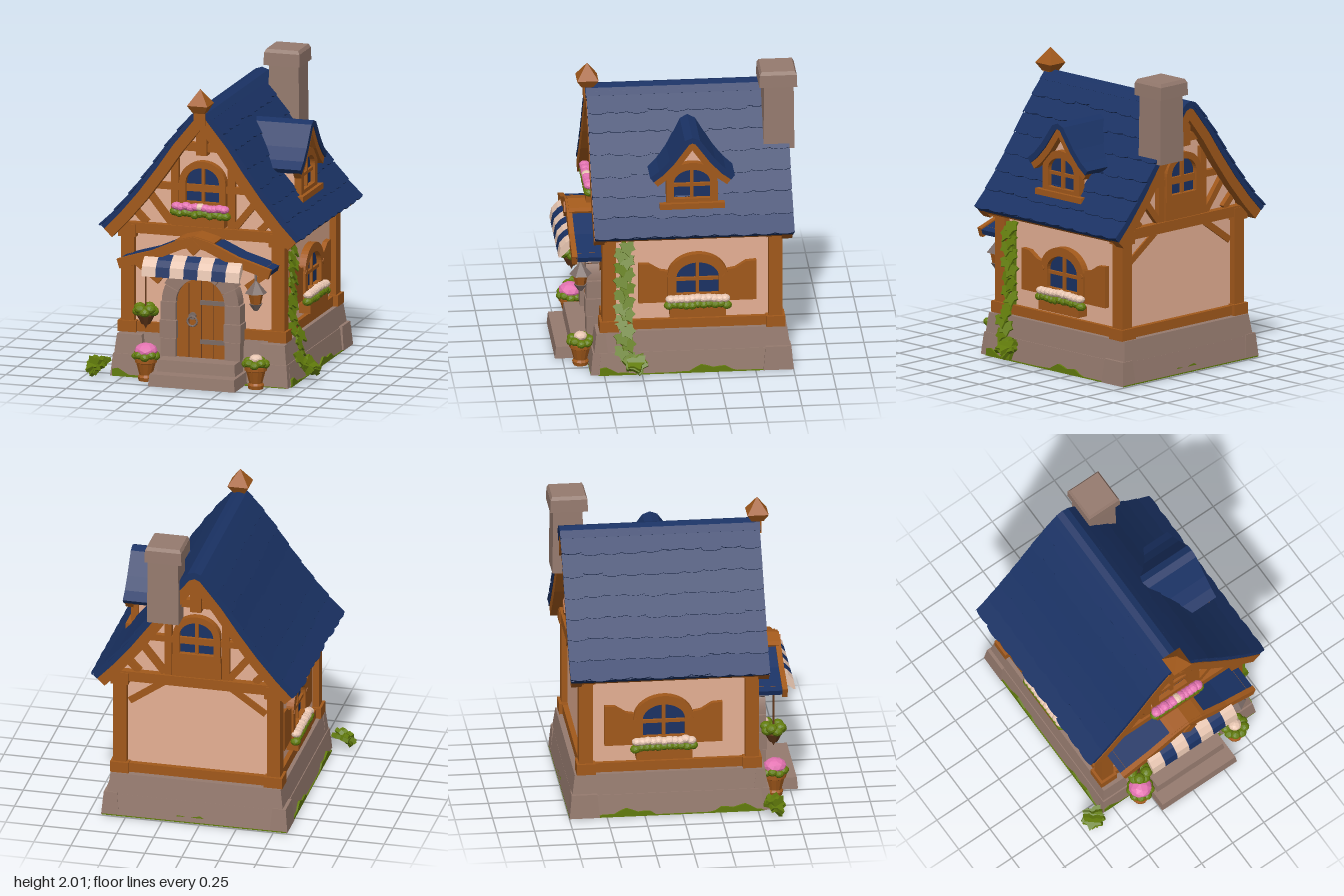
import * as THREE from 'three';

const mat = (name, color, flatShading = true) => Object.assign(new THREE.MeshStandardMaterial({ color, flatShading }), { name });
const plaster = mat('plaster', 0xe6b094), stone = mat('stone', 0x967b6f), wood = mat('wood', 0xa2591b);
const blue = mat('slateBlue', 0x1a3264), leaf = mat('leafGreen', 0x627c0c), pink = mat('pinkPetal', 0xe272b0);
const cream = mat('creamCloth', 0xeecbb6), soil = mat('darkWood', 0x63381a), metal = mat('iron', 0x7b6b66);

let seed = 7;
const rnd = (a = 0, b = 1) => { seed = (seed * 16807) % 2147483647; return a + (b - a) * seed / 2147483647; };

function add(parent, name, geo, m, x = 0, y = 0, z = 0) {
  const mesh = new THREE.Mesh(geo, m);
  mesh.name = name; mesh.position.set(x, y, z); parent.add(mesh);
  return mesh;
}
const box = (p, name, m, w, h, d, x, y, z) => add(p, name, new THREE.BoxGeometry(w, h, d), m, x, y, z);
const group = (p, name, x = 0, y = 0, z = 0, ry = 0) => {
  const g = new THREE.Group(); g.name = name; g.position.set(x, y, z); g.rotation.y = ry; p.add(g); return g;
};
const extrude = (shape, depth) => new THREE.ExtrudeGeometry(shape, { depth, bevelEnabled: false, curveSegments: 10 });
const poly = pts => new THREE.Shape(pts.map(p => new THREE.Vector2(p[0], p[1])));
const mirrored = pts => poly([...pts, ...pts.slice().reverse().filter(p => p[0]).map(p => [-p[0], p[1]])]);

// timber between two points, standing on the local wall plane
function beam(p, x1, y1, x2, y2, w, d = 0.035) {
  const m = box(p, 'timber', wood, Math.hypot(x2 - x1, y2 - y1), w, d, (x1 + x2) / 2, (y1 + y2) / 2, d / 2);
  m.rotation.z = Math.atan2(y2 - y1, x2 - x1);
}

// block narrowing by k towards the top
function taper(w, h, d, k) {
  const g = new THREE.BoxGeometry(w, h, d), a = g.attributes.position;
  for (let i = 0; i < a.count; i++) if (a.getY(i) > 0) a.setXYZ(i, a.getX(i) * (1 - k / w), a.getY(i), a.getZ(i) * (1 - k / d));
  g.computeVertexNormals();
  return g;
}

// symmetric roof layer between two offsets below a half profile
function band(half, o1, o2) {
  const full = [...half.slice(1).reverse().map(p => [-p[0], p[1]]), ...half];
  const off = o => full.map((p, i) => {
    const a = full[Math.max(i - 1, 0)], b = full[Math.min(i + 1, full.length - 1)];
    const tx = b[0] - a[0], ty = b[1] - a[1], l = Math.hypot(tx, ty);
    return [p[0] + ty / l * o, p[1] - tx / l * o];
  });
  return poly([...off(o1), ...off(o2).reverse()]);
}

function arch(w, y0, spring, top, Kind = THREE.Shape) {
  const s = new Kind();
  s.moveTo(-w / 2, y0); s.lineTo(w / 2, y0); s.lineTo(w / 2, spring);
  s.absellipse(0, spring, w / 2, top - spring, 0, Math.PI, false);
  s.closePath();
  return s;
}

function archWindow(p, w, y0, spring, top, f) {
  const s = arch(w + 2 * f, y0 - f, spring, top + f);
  s.holes.push(arch(w, y0, spring, top, THREE.Path));
  add(p, 'windowFrame', extrude(s, 0.05), wood);
  add(p, 'windowGlass', extrude(arch(w, y0, spring, top), 0.008), blue, 0, 0, 0.008);
  box(p, 'windowBar', wood, 0.022, top - y0, 0.025, 0, (top + y0) / 2, 0.022);
  box(p, 'windowBar', wood, w, 0.022, 0.025, 0, y0 + (top - y0) * 0.45, 0.022);
}

function blob(p, name, m, r, x, y, z, sy = 0.8) {
  const b = add(p, name, new THREE.IcosahedronGeometry(r, 1), m, x, y, z);
  b.scale.y = sy; b.rotation.y = rnd(0, 3);
}
function flowerBox(p, w, y, z, petals) {
  box(p, 'flowerBox', wood, w - 0.02, 0.065, 0.08, 0, y + 0.03, z - 0.01);
  for (let i = 0; i < 11; i++) {
    const x = (i / 10 - 0.5) * (w - 0.01);
    blob(p, 'boxLeaves', leaf, 0.036, x, y + 0.082 + rnd(-0.012, 0.006), z + 0.012);
    blob(p, 'boxFlowers', i === 5 ? cream : petals, 0.036, x * 0.94, y + 0.122 + rnd(-0.004, 0.008), z + 0.012, 0.75);
  }
}
const leafGeo = extrude(poly([[0, -0.065], [0.022, -0.03], [0.05, -0.022], [0.04, 0.008], [0.048, 0.035], [0.018, 0.04], [0, 0.03],
  [-0.018, 0.04], [-0.048, 0.035], [-0.04, 0.008], [-0.05, -0.022], [-0.022, -0.03]]), 0.014);

// gable timbers shared by front and back, on a local wall plane
function gableFrame(p) {
  beam(p, -0.58, 0.995, 0.58, 0.995, 0.07, 0.05);
  beam(p, -0.37, 1.29, 0.37, 1.29, 0.045);
  beam(p, -0.18, 1.57, 0.18, 1.57, 0.055, 0.05);
  beam(p, 0, 1.52, 0, 1.77, 0.075, 0.07);
  beam(p, -0.5, 0.325, 0.5, 0.325, 0.065);
  for (const s of [-1, 1]) {
    beam(p, s * 0.195, 1.02, s * 0.195, 1.48, 0.05);
    beam(p, s * 0.22, 1.04, s * 0.38, 1.24, 0.045);
    beam(p, s * 0.39, 1.03, s * 0.5, 1.14, 0.045);
  }
  archWindow(p, 0.23, 1.2, 1.33, 1.43, 0.045);
  add(p, 'bargeBoard', extrude(band(ROOF, 0.03, 0.105), 0.07), wood, 0, 0, 0.03);
}

// half profiles: distance from the ridge, height
const ROOF = [[0, 1.815], [0.06, 1.79], [0.21, 1.605], [0.32, 1.445], [0.45, 1.27], [0.58, 1.115], [0.685, 1.005]];
const DORMER = [[0, 1.662], [0.05, 1.642], [0.15, 1.505], [0.22, 1.43], [0.28, 1.385]];
const PORCH = [[0, 0.995], [0.1, 0.97], [0.3, 0.88], [0.42, 0.845], [0.53, 0.81]];

function shingles(p) {
  const len = ROOF.slice(1).map((b, i) => Math.hypot(b[0] - ROOF[i][0], b[1] - ROOF[i][1]));
  const total = len.reduce((a, b) => a + b), rows = 7;
  const at = s => {
    let i = 0;
    while (i < len.length - 1 && s > len[i]) s -= len[i++];
    const t = s / len[i], a = ROOF[i], b = ROOF[i + 1];
    return [a[0] + (b[0] - a[0]) * t, a[1] + (b[1] - a[1]) * t];
  };
  for (const side of [-1, 1]) for (let r = 0; r < rows; r++) {
    const a = at(0.06 + (total - 0.06) * r / rows), b = at(0.06 + (total - 0.06) * (r + 1) / rows);
    const A = new THREE.Vector3(side * a[0], a[1], 0), B = new THREE.Vector3(side * b[0], b[1], 0);
    const d = B.clone().sub(A), L = d.length(); d.normalize();
    const n = new THREE.Vector3(side * -d.y, side * d.x, 0);
    if (side < 0) n.set(d.y, -d.x, 0).negate().multiplyScalar(-1).set(d.y, -d.x, 0);
    d.addScaledVector(n, 0.008 / L).normalize();
    n.set(side * -d.y, side * d.x, 0);
    const s = new THREE.Shape(), tiles = 10, w = 1.32 / tiles;
    s.moveTo(0.66, 0); s.lineTo(0.66, L);
    for (let i = 0; i < tiles; i++) {
      const x = 0.66 - i * w, e = L + rnd(-0.012, 0.008);
      s.lineTo(x, e); s.quadraticCurveTo(x - w / 2, e + 0.022, x - w, e);
    }
    s.lineTo(-0.66, 0);
    const m = add(p, 'shingleRow', extrude(s, 0.012), blue);
    m.quaternion.setFromRotationMatrix(new THREE.Matrix4().makeBasis(new THREE.Vector3(0, 0, side), d, n));
    m.position.copy(A).addScaledVector(n, -0.003).setZ(-0.09);
  }
}

function pot(p, x, z, petals, r) {
  const g = group(p, 'flowerPot', x, 0, z);
  const prof = [[0, 0], [0.05, 0], [0.055, 0.025], [0.045, 0.04], [0.066, 0.12], [0.075, 0.125], [0.075, 0.15], [0, 0.15]];
  add(g, 'pot', new THREE.LatheGeometry(prof.map(q => new THREE.Vector2(...q)), 12), wood);
  for (let i = 0; i < 9; i++) blob(g, 'potLeaves', leaf, 0.034, Math.cos(i * 0.7) * 0.062, 0.165 + (i % 2) * 0.012, Math.sin(i * 0.7) * 0.062);
  blob(g, 'potFlowers', petals, r, 0, 0.2, 0, 0.68);
}

export function createModel() {
  const root = new THREE.Group(); root.name = 'cottage';
  const h = group(root, 'house', 0.035);

  // stone footing, corner blocks and underside
  add(h, 'footingLower', taper(1.24, 0.15, 1.29, 0.04), stone, 0, 0.075, -0.105);
  add(h, 'footingUpper', taper(1.19, 0.145, 1.25, 0.04), stone, 0, 0.2175, -0.105);
  for (const s of [-1, 1]) {
    add(h, 'cornerBlock', taper(0.28, 0.15, 0.1, 0.03), stone, s * 0.475, 0.075, 0.54);
    add(h, 'cornerBlock', taper(0.2, 0.13, 0.09, 0.03), stone, s * 0.495, 0.215, 0.52);
    add(h, 'cornerBlock', taper(0.12, 0.16, 0.2, 0.03), stone, s * 0.57, 0.08, -0.65);
  }
  box(h, 'mossRim', leaf, 1.245, 0.008, 1.29, 0, 0.002, -0.105);
  box(h, 'underside', wood, 1.16, 0.008, 1.2, 0, 0, -0.105);
  // moss along the foot of the walls
  [[0, 0.588, 0, 1.2], [0, -0.742, Math.PI, 1.2], [0.624, -0.1, Math.PI / 2, 1.26], [-0.624, -0.1, -Math.PI / 2, 1.26]].forEach(([x, z, r, L], k) => {
    const pts = [[-L / 2, 0], [L / 2, 0]];
    for (let i = 0; i <= 32; i++) {
      const t = 0.5 - i / 32;
      pts.push([t * L, 0.006 + Math.max(0, 0.04 * Math.cos(t * 11 + 5.5 + (k === 2 ? 0 : k)) + 0.012 * Math.sin(t * 50))]);
    }
    add(group(h, 'mossEdge', x, 0, z, r), 'moss', extrude(poly(pts), 0.02), leaf, 0, 0, -0.017);
  });

  // plastered body with its gables
  add(h, 'walls', extrude(mirrored([[0.52, 0.28], [0.52, 1.08], [0.4, 1.23], [0.05, 1.71]]), 1.11), plaster, 0, 0, -0.64);
  for (const s of [-1, 1]) {
    for (const z of [0.465, -0.635]) {
      box(h, 'cornerPost', wood, 0.09, 0.66, 0.09, s * 0.52, 0.63, z);
      box(h, 'postFoot', wood, 0.125, 0.075, 0.125, s * 0.52, 0.327, z);
      box(h, 'postHead', wood, 0.12, 0.085, 0.12, s * 0.52, 0.975, z);
    }
    box(h, 'sideSill', wood, 0.06, 0.065, 1.1, s * 0.52, 0.325, -0.085);
    box(h, 'sidePlate', wood, 0.05, 0.05, 1.1, s * 0.52, 0.975, -0.085);
    // side window with shutters
    const w = group(h, 'sideWindow', s * 0.52, 0, -0.12, s * Math.PI / 2);
    archWindow(w, 0.28, 0.54, 0.66, 0.765, 0.06);
    for (const k of [-1, 1]) {
      const pts = [[0.195, 0.48], [0.39, 0.48], [0.39, 0.76], [0.32, 0.755], [0.25, 0.71], [0.195, 0.7]].map(q => [k * q[0], q[1]]);
      add(w, 'shutter', extrude(poly(pts), 0.035), wood);
      box(w, 'shutterDiamond', wood, 0.028, 0.028, 0.008, k * 0.18, 0.66, 0.05).rotation.z = Math.PI / 4;
    }
    flowerBox(w, 0.39, 0.39, 0.05, cream);
  }
  const front = group(h, 'frontGable', 0, 0, 0.47), back = group(h, 'backGable', 0, 0, -0.64, Math.PI);
  [front, back].forEach(gableFrame);
  flowerBox(front, 0.36, 1.05, 0.08, pink);
  box(back, 'windowPanel', wood, 0.33, 0.17, 0.04, 0, 1.1, 0.02);
  for (const s of [-1, 1]) {
    beam(back, s * 0.46, 0.8, s * 0.23, 0.96, 0.045, 0.012);
    beam(front, s * 0.46, 0.76, s * 0.3, 0.64, 0.045);
  }

  // main roof
  add(h, 'roofLayer', extrude(band(ROOF, 0, 0.035), 1.31), blue, 0, 0, -0.745);
  add(h, 'soffit', extrude(band(ROOF, 0.035, 0.055), 1.24), wood, 0, 0, -0.71);
  shingles(h);
  add(h, 'ridgeCap', extrude(band([[0, 1.83], [0.045, 1.815], [0.085, 1.775]], 0, 0.03), 1.325), blue, 0, 0, -0.75);
  // finial
  const fin = group(h, 'finial', 0, 0, 0.56);
  box(fin, 'finialBlock', wood, 0.08, 0.09, 0.05, 0, 1.78, 0);
  add(fin, 'finialBase', new THREE.CylinderGeometry(0.1, 0.055, 0.055, 4).rotateY(Math.PI / 4), wood, 0, 1.845, 0);
  add(fin, 'finialTip', new THREE.ConeGeometry(0.1, 0.105, 4).rotateY(Math.PI / 4), wood, 0, 1.925, 0);

  // chimney
  add(h, 'chimneyShaft', taper(0.215, 0.46, 0.205, 0.01), stone, 0.205, 1.68, -0.68);
  add(h, 'chimneyCap', taper(0.25, 0.085, 0.25, 0.005), stone, 0.2, 1.935, -0.675);
  add(h, 'chimneyTop', taper(0.245, 0.025, 0.245, 0.025), stone, 0.2, 1.988, -0.675);

  // dormer facing the left side
  const d = group(h, 'dormer', 0, 0, -0.085, Math.PI / 2);
  add(d, 'dormerWalls', extrude(mirrored([[0.155, 1.13], [0.155, 1.44], [0, 1.61]]), 0.3), plaster, 0, 0, 0.2);
  add(d, 'dormerRoof', extrude(band(DORMER, 0, 0.04), 0.42), blue, 0, 0, 0.155);
  add(d, 'dormerBargeBoard', extrude(band(DORMER, 0.035, 0.085), 0.05), wood, 0, 0, 0.515);
  archWindow(group(d, 'dormerWindow', 0, 0, 0.495), 0.24, 1.215, 1.33, 1.42, 0.05);
  box(d, 'dormerSill', wood, 0.43, 0.05, 0.1, 0, 1.165, 0.52);

  // porch roof and arms
  add(h, 'porchRoof', extrude(band(PORCH, 0, 0.035), 0.2), blue, 0, 0, 0.48);
  add(h, 'porchBoard', extrude(band(PORCH, -0.01, 0.055), 0.035), wood, 0, 0, 0.67);
  add(h, 'porchRidge', extrude(band([...PORCH.slice(0, 2), [0.13, 0.957]], -0.015, 0.02), 0.21), wood, 0, 0, 0.48);
  box(h, 'porchOrnament', wood, 0.075, 0.075, 0.03, 0, 0.935, 0.7).rotation.z = Math.PI / 4;
  for (const s of [-1, 1]) box(h, 'porchArm', wood, 0.05, 0.05, 0.22, s * 0.46, 0.8, 0.58);
  // striped awning
  const aw = [[0.68, 0.87], [0.73, 0.84], [0.765, 0.8], [0.778, 0.735], [0.765, 0.735], [0.73, 0.765], [0.68, 0.82]];
  for (let i = 0; i < 7; i++) {
    const m = add(h, 'awningStripe', extrude(poly(aw.map(q => [-q[0], q[1]])), 0.0965), i % 2 ? blue : cream, -0.338 + i * 0.0965, 0, 0);
    m.rotation.y = Math.PI / 2;
  }

  // door with stone surround
  const door = group(h, 'doorway', 0.008, 0, 0.53);
  add(door, 'door', extrude(arch(0.34, 0.15, 0.53, 0.7), 0.03), wood);
  for (const x of [-0.085, 0, 0.085]) box(door, 'plankGap', soil, 0.005, x ? 0.5 : 0.54, 0.004, x, x ? 0.41 : 0.43, 0.031);
  for (const y of [0.27, 0.535]) box(door, 'hinge', metal, 0.17, 0.03, 0.012, 0.08, y, 0.036);
  add(door, 'knockerPlate', new THREE.CylinderGeometry(0.025, 0.025, 0.02, 10).rotateX(Math.PI / 2), metal, -0.06, 0.44, 0.036);
  add(door, 'knockerRing', new THREE.TorusGeometry(0.033, 0.007, 6, 14), metal, -0.06, 0.405, 0.045);
  for (const s of [-1, 1]) for (let i = 0; i < 3; i++)
    box(door, 'jambStone', stone, 0.105 + (i % 2) * 0.012, 0.12, 0.11 + (i % 2) * 0.012, s * 0.222, 0.22 + i * 0.124, 0.005);
  for (let i = 0; i < 7; i++) {
    const a0 = i * Math.PI / 7 + 0.012, a1 = (i + 1) * Math.PI / 7 - 0.012, s = new THREE.Shape();
    s.absarc(0, 0, 0.265 + (i % 2) * 0.01, a0, a1, false);
    s.absarc(0, 0, 0.168, a1, a0, true);
    add(door, 'archStone', extrude(s, 0.11), stone, 0, 0.53, -0.05);
  }
  add(h, 'lowerStep', taper(0.6, 0.08, 0.3, 0.015), stone, 0.015, 0.04, 0.65);
  add(h, 'upperStep', taper(0.54, 0.08, 0.2, 0.015), stone, 0.015, 0.118, 0.6);

  // pots, hanging basket, lantern
  pot(h, -0.35, 0.64, pink, 0.078);
  pot(h, 0.41, 0.64, cream, 0.045);
  const hb = group(h, 'hangingBasket', -0.355, 0, 0.63);
  box(hb, 'chain', soil, 0.01, 0.32, 0.01, 0, 0.66, 0);
  add(hb, 'basket', new THREE.CylinderGeometry(0.06, 0.03, 0.06, 10), soil, 0, 0.41, 0);
  add(hb, 'basketTip', new THREE.ConeGeometry(0.018, 0.04, 6).rotateX(Math.PI), soil, 0, 0.365, 0);
  for (let i = 0; i < 9; i++) blob(hb, 'basketLeaves', leaf, 0.04, Math.cos(i * 0.7) * 0.05, 0.465 + (i % 2) * 0.02, Math.sin(i * 0.7) * 0.05);
  const ln = group(h, 'lantern', 0.41, 0, 0.64);
  box(ln, 'lanternHook', metal, 0.012, 0.09, 0.012, 0, 0.77, 0);
  add(ln, 'lanternCap', new THREE.ConeGeometry(0.075, 0.09, 6), metal, 0, 0.69, 0);
  add(ln, 'lanternGlass', new THREE.CylinderGeometry(0.052, 0.035, 0.08, 6), wood, 0, 0.61, 0);
  add(ln, 'lanternFoot', new THREE.CylinderGeometry(0.045, 0.015, 0.045, 6), metal, 0, 0.55, 0);

  // ivy on the left wall and ground leaves
  for (let i = 0; i < 17; i++) {
    const y = 0.12 + i * 0.048, m = add(h, 'ivyLeaf', leafGeo, leaf, y < 0.33 ? 0.62 : 0.57, y, 0.365 + (i % 2 - 0.5) * 0.04);
    m.rotation.set(rnd(-0.55, -0.25), Math.PI / 2 + rnd(-0.3, 0.3), rnd(-0.5, 0.5), 'YXZ');
  }
  box(h, 'ivyStem', leaf, 0.03, 0.6, 0.025, 0.525, 0.62, 0.365);
  for (const [x, y, z, r] of [[-0.695, 0.07, 0.59, -0.7], [0.655, 0.09, 0.3, 1.5]]) for (let i = 0; i < 4; i++) {
    const m = add(h, 'groundLeaf', leafGeo, leaf, x + rnd(-0.015, 0.015), y, z + rnd(-0.02, 0.02));
    m.scale.set(1.35, 1.25, 2); m.rotation.set(-1.2 + i * 0.3, r, rnd(-0.5, 0.5), 'YXZ');
  }
  return root;
}
